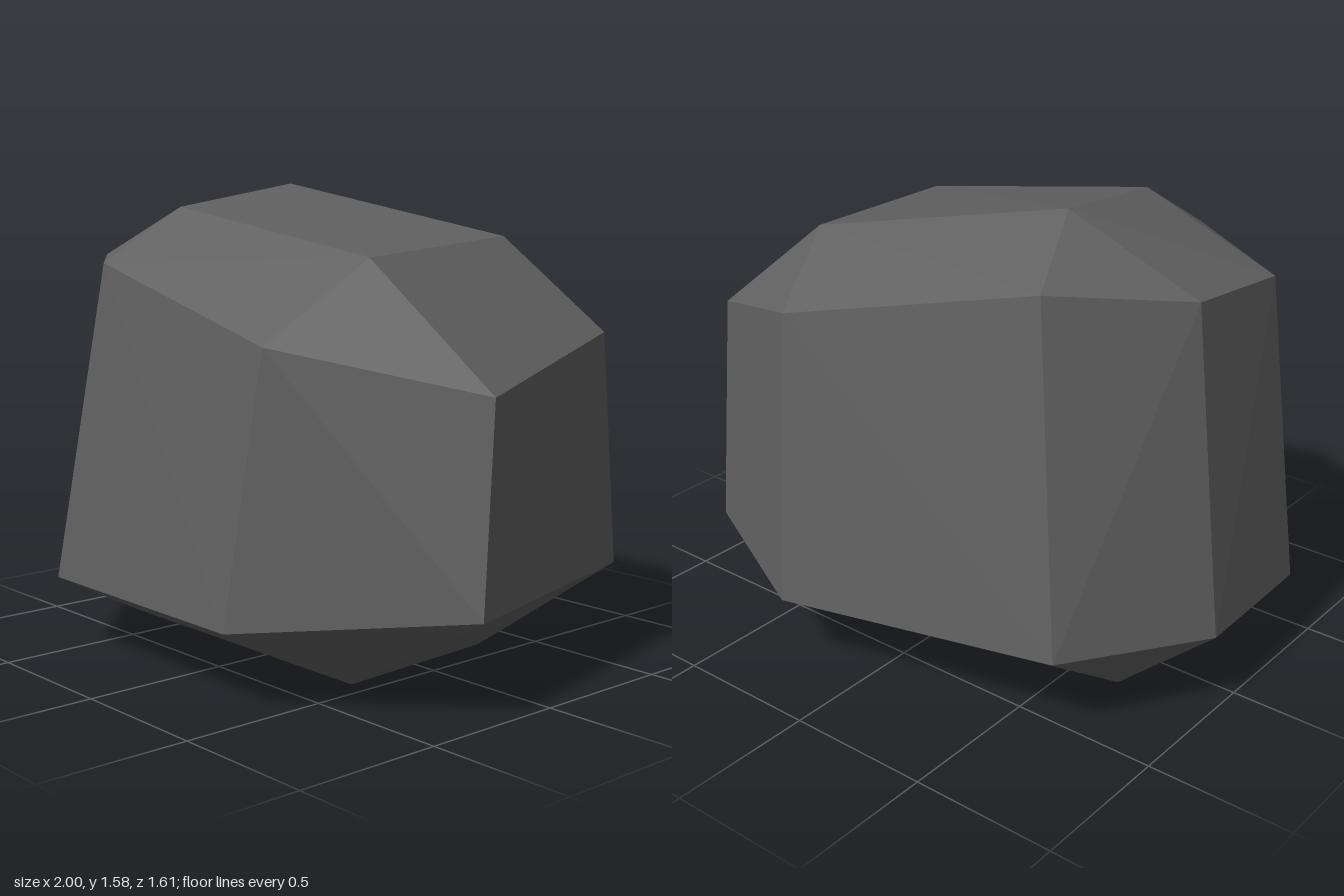
import * as THREE from 'three';
import { ConvexGeometry } from 'three/addons/geometries/ConvexGeometry.js';

// Corner points of the boulder, ring by ring, from the ground up
const rings = [
  // underside
  [[-0.64, 0.045, 0.39], [0.43, 0, 0.3], [0.39, 0, -0.33], [-0.71, 0.05, -0.25]],
  // widest girdle
  [[-0.53, 0.25, 0.78], [0.42, 0.26, 0.805], [1, 0.32, 0.3], [0.77, 0.32, -0.58],
    [0.26, 0.255, -0.805], [-0.71, 0.3, -0.61], [-1, 0.28, -0.14], [-0.98, 0.27, 0.37]],
  // shoulder
  [[-0.37, 1.32, 0.675], [0.47, 1.11, 0.69], [0.96, 0.97, 0.22], [0.77, 1.1, -0.5],
    [0.3, 1.225, -0.69], [-0.55, 1.42, -0.48], [-0.855, 1.36, -0.1], [-0.855, 1.32, 0.34]],
  // sloping top
  [[-0.33, 1.5, 0.39], [0.53, 1.36, 0.32], [0.44, 1.405, -0.37], [-0.41, 1.575, -0.16]],
];

export function createModel() {
  const stone = new THREE.MeshStandardMaterial({ color: 0x606060, flatShading: true });
  stone.name = 'darkGreyStone';

  // The facets are the convex skin around all rings
  const points = rings.flat().map((p) => new THREE.Vector3(...p));
  const boulder = new THREE.Mesh(new ConvexGeometry(points), stone);
  boulder.name = 'boulder';

  const group = new THREE.Group();
  group.name = 'rock';
  group.add(boulder);
  return group;
}
